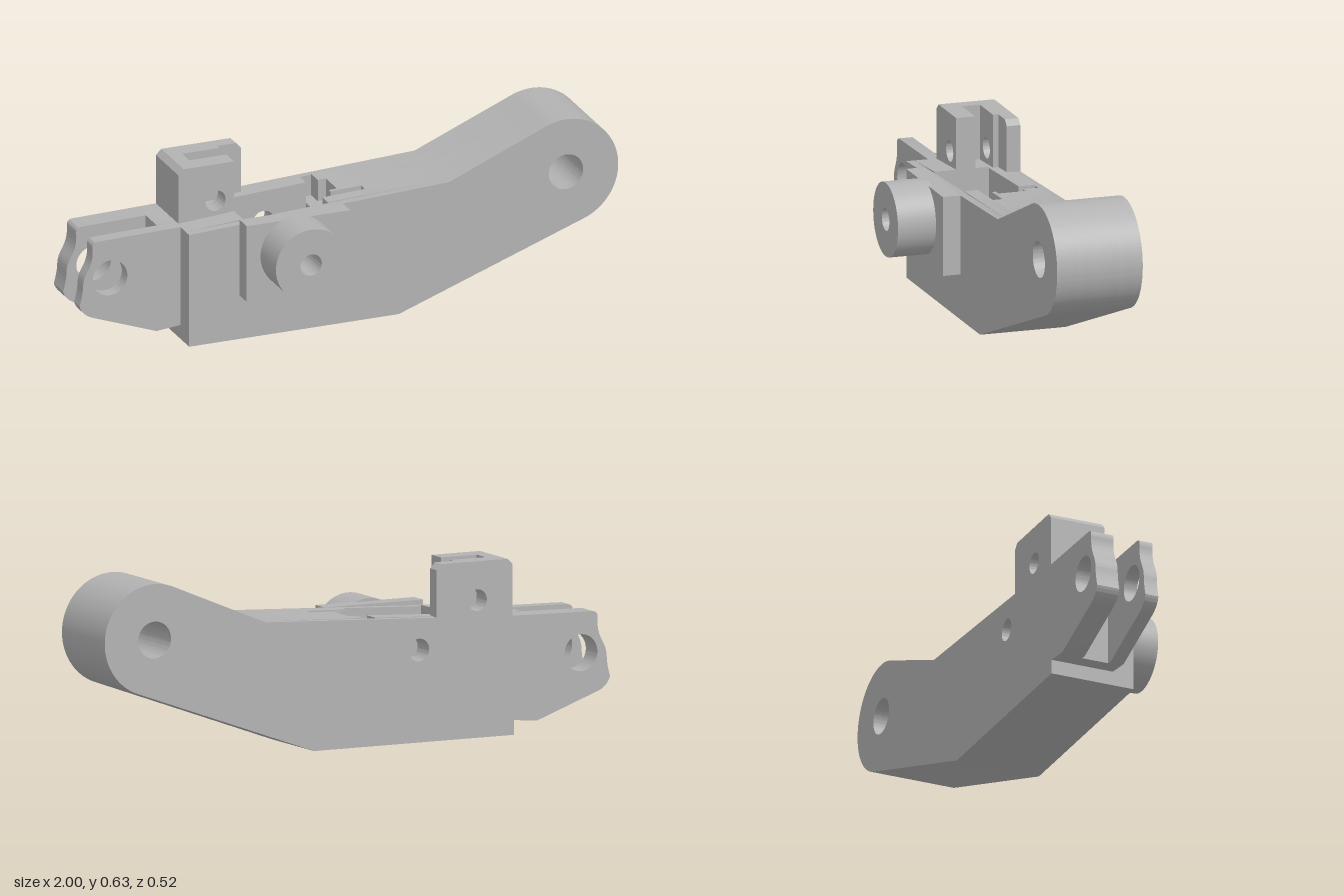
import * as THREE from 'three';
import { toCreasedNormals } from 'three/addons/utils/BufferGeometryUtils.js';

const BORE = [-0.245, 0.326];

export function createModel() {
  const group = new THREE.Group();
  const metal = new THREE.MeshStandardMaterial({ color: 0xb2b2b2 });
  metal.name = 'machined grey';

  // extrude an outline between two depths
  function slab(name, shape, z0, z1) {
    let g = new THREE.ExtrudeGeometry(shape, { depth: z1 - z0, bevelEnabled: false, curveSegments: 32 });
    g = toCreasedNormals(g.translate(0, 0, z0), 0.5);
    const mesh = new THREE.Mesh(g, metal);
    mesh.name = name;
    group.add(mesh);
  }
  function hole(shape, x, y, r) {
    shape.holes.push(new THREE.Path().absarc(x, y, r, 0, Math.PI * 2, true));
  }
  function polygon(points) {
    return new THREE.Shape(points.map(p => new THREE.Vector2(...p)));
  }
  const topAt = x => 0.452 + 0.041 * x;

  // arm outline; the options cut the trough, side pocket and fork
  function armShape({ end = 'block', trough = false, cutTo = null, depth = 0.08, bore = true }) {
    const s = new THREE.Shape();
    s.moveTo(-0.62, 0);
    s.lineTo(0.17, 0);
    s.absarc(0.8, 0.437, 0.197, -1.24, 1.97, false);
    s.lineTo(0.36, 0.467);
    if (cutTo !== null) {
      s.lineTo(cutTo, topAt(cutTo));
      s.lineTo(cutTo, topAt(cutTo) - depth);
      s.lineTo(-0.085, topAt(cutTo) - depth);
      if (!trough) s.lineTo(-0.085, topAt(-0.085));
    } else if (trough) s.lineTo(-0.085, topAt(-0.085));
    if (trough) {
      s.lineTo(-0.085, BORE[1]);
      s.absarc(...BORE, 0.16, 0, -Math.PI, true);
      s.lineTo(-0.405, topAt(-0.405));
    }
    s.lineTo(-0.62, 0.42);
    if (end === 'tine') {
      s.lineTo(-0.93, 0.413);
      s.quadraticCurveTo(-0.95, 0.412, -0.951, 0.395);
      s.bezierCurveTo(-0.945, 0.31, -0.985, 0.31, -0.987, 0.25);
      s.quadraticCurveTo(-0.988, 0.22, -1, 0.18);
      s.quadraticCurveTo(-0.99, 0.145, -0.95, 0.13);
      s.lineTo(-0.71, 0.043);
      s.lineTo(-0.62, 0.052);
      hole(s, -0.885, 0.27, 0.065);
    } else if (end === 'slot') {
      s.lineTo(-0.69, 0.42);
      s.lineTo(-0.69, 0.045);
      s.lineTo(-0.62, 0.052);
    }
    s.closePath();
    hole(s, 0.8, 0.437, 0.065);
    if (bore && !trough) hole(s, ...BORE, 0.04);
    return s;
  }

  // arm layers, from the back to the front
  const layers = [
    ['backPlate', -0.26, -0.235, { end: 'tine' }],
    ['backWall', -0.235, -0.175, { end: 'tine', cutTo: -0.04 }],
    ['forkGap', -0.175, -0.075, { end: 'slot', trough: true, cutTo: -0.01 }],
    ['frontTineRear', -0.075, -0.06, { end: 'tine', trough: true, cutTo: -0.04 }],
    ['frontTine', -0.06, -0.025, { end: 'tine', trough: true, cutTo: 0.075, depth: 0.06 }],
    ['frontBlock', -0.025, 0.025, { trough: true }],
    ['frontPlate', 0.025, 0.055, {}],
  ];
  for (const [name, z0, z1, options] of layers) slab(name, armShape(options), z0, z1);

  // boss pad and round boss on the front
  const pad = polygon([[-0.43, 0.163], [-0.04, 0.163], [-0.04, 0.448], [-0.43, 0.448]]);
  hole(pad, ...BORE, 0.04);
  slab('bossPad', pad, 0.055, 0.12);
  const boss = new THREE.Shape().absarc(...BORE, 0.133, 0, Math.PI * 2, false);
  hole(boss, ...BORE, 0.04);
  slab('boss', boss, 0.11, 0.26);

  // upright clevis: back cheek, web and front cheek
  const y0 = 0.4, y1 = 0.622, c = 0.02;
  const cheek = right => {
    const s = polygon([[-0.615, y0], [right, y0], [right, y1 - (right > -0.4 ? c : 0)],
      [right - (right > -0.4 ? c : 0), y1], [-0.615 + c, y1], [-0.615, y1 - c]]);
    hole(s, -0.475, 0.485, 0.038);
    return s;
  };
  slab('clevisBack', cheek(-0.315), -0.26, -0.21);
  slab('clevisBackStep', cheek(-0.405), -0.21, -0.19);
  slab('clevisWeb', polygon([[-0.615, y0], [-0.545, y0], [-0.545, y1], [-0.615 + c, y1], [-0.615, y1 - c]]), -0.19, -0.125);
  slab('clevisFront', cheek(-0.405), -0.125, -0.055);

  return group;
}
